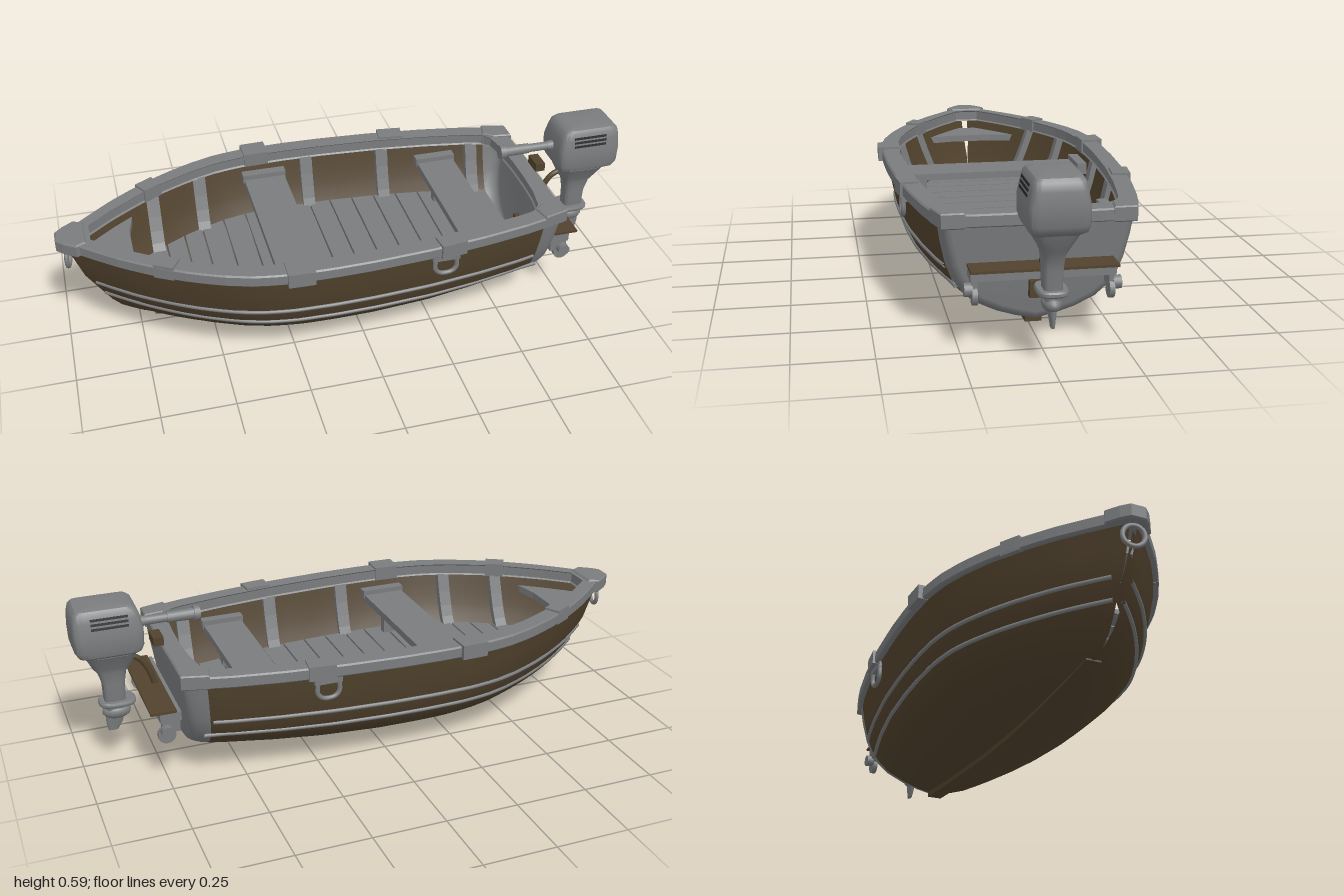
import * as THREE from 'three';
import { toCreasedNormals } from 'three/addons/utils/BufferGeometryUtils.js';

const material = (name, color) =>
  Object.assign(new THREE.MeshStandardMaterial({ color, side: THREE.DoubleSide }), { name });

// Piecewise linear lookup in [[key, value], ...]
function lookup(table, k) {
  if (k <= table[0][0]) return table[0][1];
  for (let i = 1; i < table.length; i++) {
    const [a, p] = table[i - 1], [b, q] = table[i];
    if (k <= b) return p + (q - p) * (k - a) / (b - a);
  }
  return table[table.length - 1][1];
}

// Hull lines: sheer height, plan, section, stem, keel
const TOP = 0.385;
const BEAM = [[-0.97, 0.012], [-0.9, 0.075], [-0.8, 0.16], [-0.7, 0.23], [-0.6, 0.288], [-0.5, 0.334], [-0.4, 0.367],
  [-0.3, 0.383], [-0.15, 0.388], [0, 0.385], [0.2, 0.372], [0.4, 0.348], [0.55, 0.322], [0.63, 0.303]];
const SECTION = [[0, 0], [0.04, 0.26], [0.1, 0.47], [0.2, 0.68], [0.3, 0.785], [0.42, 0.87], [0.58, 0.928], [0.8, 0.973], [1, 1]];
const STEM = [[0, -0.755], [0.04, -0.78], [0.1, -0.81], [0.2, -0.84], [0.58, -0.92], [1, -0.97]];
const KEEL = [[0, 0.065], [0.04, 0.048], [0.12, 0.036], [0.3, 0.02], [0.45, 0.013], [0.6, 0.014], [0.85, 0.03], [1, 0.045]];
const beam = x => lookup(BEAM, x);
const stern = v => 0.605 + 0.025 * v;

function hullPoint(u, v) {
  const x0 = lookup(STEM, v), keel = lookup(KEEL, u);
  const fine = 1 + 0.2 * Math.max(0, 1 - u / 0.3) + 0.2 * Math.max(0, (u - 0.75) / 0.25);
  return new THREE.Vector3(x0 + (stern(v) - x0) * u, keel + (TOP - keel) * v,
    beam(-0.97 + 1.6 * u) * Math.pow(lookup(SECTION, v), fine));
}

// Half width of the hull at a given x and y, and of its inner skin
function halfWidth(x, y) {
  let u = 0.5, v = 0.5;
  for (let i = 0; i < 4; i++) {
    const keel = lookup(KEEL, u);
    v = THREE.MathUtils.clamp((y - keel) / (TOP - keel), 0, 1);
    u = THREE.MathUtils.clamp((x - lookup(STEM, v)) / (stern(v) - lookup(STEM, v)), 0, 1);
  }
  return hullPoint(u, v).z;
}
const innerWidth = (x, y) => Math.max(0, halfWidth(x, y) - 0.022 - 0.08 * (TOP - y));

// Grid surface from a function of two indices
function surface(rows, cols, point) {
  const pos = [], index = [];
  for (let i = 0; i <= rows; i++) for (let j = 0; j <= cols; j++) pos.push(...point(i, j));
  for (let i = 0; i < rows; i++) for (let j = 0; j < cols; j++) {
    const a = i * (cols + 1) + j, b = a + cols + 1;
    index.push(a, a + 1, b, b, a + 1, b + 1);
  }
  const g = new THREE.BufferGeometry();
  g.setAttribute('position', new THREE.Float32BufferAttribute(pos, 3));
  g.setIndex(index);
  g.computeVertexNormals();
  return g;
}

// Rounded-box loft through levels [y, xMin, xMax, halfZ]
function loft(levels, power = 5) {
  const first = levels[0], last = levels[levels.length - 1];
  const cap = ([y, a, b]) => [y, (a + b) / 2, (a + b) / 2, 0];
  const all = [cap(first), ...levels, cap(last)];
  const round = c => Math.sign(c) * Math.pow(Math.abs(c), 2 / power);
  return toCreasedNormals(surface(all.length - 1, 32, (i, j) => {
    const [y, a, b, hz] = all[i], t = j / 32 * Math.PI * 2;
    return [(a + b) / 2 + round(Math.cos(t)) * (b - a) / 2, y, -round(Math.sin(t)) * hz];
  }), 0.6);
}

const toShape = pts => new THREE.Shape(pts.map(p => new THREE.Vector2(...p)));
const mirrored = pts => [...pts, ...pts.slice().reverse().map(([x, z]) => [x, -z])];

export function createModel() {
  const grey = material('grey', 0x7a7c7e);
  const brown = material('brown', 0x51422d);
  const dark = material('dark', 0x2a2a2a);
  const boat = new THREE.Group();
  boat.name = 'motorBoat';

  const add = (name, geo, mat, x = 0, y = 0, z = 0) => {
    const m = new THREE.Mesh(geo, mat);
    m.name = name;
    m.position.set(x, y, z);
    boat.add(m);
    return m;
  };
  const box = (name, w, h, d, mat, x, y, z) => add(name, new THREE.BoxGeometry(w, h, d), mat, x, y, z);
  // Plate drawn in x/z, hanging down from its top, with a small edge bevel
  const slab = (name, pts, top, depth, mat, { hole, bevel = 0 } = {}) => {
    const s = toShape(pts);
    if (hole) s.holes.push(new THREE.Path(hole.map(p => new THREE.Vector2(...p))));
    const geo = new THREE.ExtrudeGeometry(s, { depth: depth - 2 * bevel, bevelEnabled: bevel > 0,
      bevelSize: bevel, bevelThickness: bevel, bevelOffset: -bevel, bevelSegments: 1 });
    return add(name, geo.rotateX(Math.PI / 2), mat, 0, top - bevel, 0);
  };
  const tube = (name, pts, r, mat, n = 24) => add(name,
    new THREE.TubeGeometry(new THREE.CatmullRomCurve3(pts.map(p => new THREE.Vector3(...p))), n, r, 8), mat);
  const rod = (name, r0, r1, len, mat, x, y, z) =>
    add(name, new THREE.CylinderGeometry(r0, r1, len, 16).rotateZ(-Math.PI / 2), mat, x, y, z);
  const disc = (name, r, len, mat, x, y, z) =>
    add(name, new THREE.CylinderGeometry(r, r, len, 16).rotateX(Math.PI / 2), mat, x, y, z);

  // Hull skin and the rounded transom closing it
  const level = j => SECTION[Math.abs(j - 8)][0];
  add('hull', surface(40, 16, (i, j) => {
    const p = hullPoint(i / 40, level(j));
    return [p.x, p.y, Math.sign(j - 8) * p.z];
  }), brown);
  const BULGE = [[0, 1], [0.035, 0.985], [0.055, 0.96], [0.068, 0.93], [0.074, 0.88], [0.076, 0.5], [0.076, 0]];
  add('transom', surface(BULGE.length - 1, 16, (i, j) => {
    const p = hullPoint(1, level(j)), [dx, k] = BULGE[i];
    const y = TOP - (TOP - p.y) * k;
    return [p.x + dx + 0.025 * (1 - k) * (1 - level(j)) - 0.02 * (TOP - y) / TOP, y, Math.sign(j - 8) * p.z * k];
  }), grey);

  // Keel strip, fading into the stem
  const keelTop = [], keelLow = [];
  for (let i = 0; i <= 30; i++) {
    const p = hullPoint(0.04 + i / 30 * 0.96, 0);
    keelTop.push([p.x, p.y + 0.006]);
    keelLow.unshift([p.x, p.y - 0.013 * Math.min(1, i / 12)]);
  }
  add('keel', new THREE.ExtrudeGeometry(toShape([...keelTop, ...keelLow]), { depth: 0.052, bevelEnabled: false }), brown, 0, 0, -0.026);

  // Gunwale
  const outer = [], inner = [];
  for (let x = -0.97; x < 0.64; x += 0.04) outer.push([x, beam(x) + 0.018]);
  outer.push([0.67, 0.3], [0.7, 0.285], [0.708, 0.2], [0.71, 0.06]);
  for (let x = -0.89; x < 0.6; x += 0.04) inner.push([x, beam(x) - 0.039]);
  inner.push([0.61, 0.265], [0.635, 0.235], [0.65, 0.15], [0.655, 0.05]);
  slab('gunwale', mirrored(outer), 0.416, 0.042, grey, { hole: mirrored(inner), bevel: 0.005 });
  slab('bowCap', mirrored([[-1, 0.025], [-0.975, 0.05], [-0.935, 0.078], [-0.9, 0.06]]), 0.422, 0.048, grey, { bevel: 0.005 });

  // Floor planks
  const FLOOR = 0.195;
  const edges = [-0.78, -0.7, -0.62, -0.55, -0.48, -0.395, -0.31, -0.225, -0.14, -0.06, 0.02, 0.105, 0.19, 0.275, 0.36, 0.445, 0.53, 0.62];
  for (let i = 1; i < edges.length; i++) {
    const a = edges[i - 1] + 0.003, b = edges[i] - 0.003;
    slab('floorPlank', mirrored([[a, innerWidth(a, FLOOR) - 0.004], [b, innerWidth(b, FLOOR) - 0.004]]), FLOOR, 0.015, grey);
  }

  // Bow seat with a hollowed edge
  const bowSeat = [-0.9, -0.84, -0.78, -0.73].map(x => [x, innerWidth(x, 0.33) + 0.01]);
  slab('bowSeat', mirrored([...bowSeat, [-0.75, 0.08]]), 0.34, 0.025, grey);

  // Cross seats with posts and end cleats
  for (const [x, w] of [[-0.225, 0.15], [0.425, 0.14]]) {
    const hw = innerWidth(x + 0.05, 0.31);
    box('seat', w, 0.025, hw * 2, grey, x, 0.318, 0);
    for (const s of [-1, 1]) {
      box('seatPost', 0.05, 0.115, 0.03, grey, x, 0.25, s * (hw - 0.09));
      box('seatCleat', w + 0.01, 0.03, 0.035, grey, x, 0.333, s * (hw - 0.018));
    }
  }

  for (const s of [-1, 1]) {
    // Inner skin above the floor, starting just behind the stem
    add('innerSkin', surface(36, 5, (i, j) => {
      const y = 0.18 + j * 0.041, x0 = lookup(STEM, (y - 0.06) / 0.325) + 0.03;
      const x = x0 + i / 36 * (0.62 - x0);
      return [x, y, s * innerWidth(x, y)];
    }), brown);
    // Ribs inside the hull
    for (const x of [-0.65, -0.47, -0.06, 0.23, 0.57]) {
      const ys = [FLOOR - 0.005, 0.22, 0.26, 0.31, 0.376];
      const pts = [...ys.map(y => [s * (innerWidth(x, y) + 0.006), y]), ...ys.reverse().map(y => [s * (innerWidth(x, y) - 0.02), y])];
      add('rib', new THREE.ExtrudeGeometry(toShape(pts), { depth: 0.045, bevelEnabled: false }).rotateY(-Math.PI / 2), grey, x + 0.022);
    }
    // Rubbing strakes
    for (const y of [0.232, 0.172]) {
      const pts = [];
      for (let i = 0; i <= 24; i++) {
        const x = -0.885 + (y < 0.2 ? 0.025 : 0) + i / 24 * 1.495;
        pts.push([x, y, s * (halfWidth(x, y) + 0.001)]);
      }
      tube('strake', pts, 0.007, grey, 60);
    }
    // Gunwale clamps
    for (const [x, len, depth, off] of [[-0.66, 0.07, 0.056, -0.015], [-0.25, 0.09, 0.078, -0.006], [0.27, 0.09, 0.062, -0.005]]) {
      const slope = (beam(x + 0.04) - beam(x - 0.04)) / 0.08;
      box('gunwaleClamp', len, 0.05, depth, grey, x, 0.398, s * (beam(x) + off)).rotation.y = -s * Math.atan(slope);
    }
    slab('sternCorner', [[0.625, s * 0.322], [0.712, s * 0.298], [0.712, s * 0.225], [0.645, s * 0.235], [0.61, s * 0.262]], 0.423, 0.05, grey, { bevel: 0.004 });
    // Side lifting rings
    const z = s * (halfWidth(0.25, 0.34) + 0.012);
    tube('sideRing', [[0.215, 0.365, z], [0.213, 0.32, z], [0.23, 0.302, z], [0.27, 0.302, z], [0.287, 0.32, z], [0.285, 0.365, z]], 0.008, grey);
    box('ringMount', 0.095, 0.02, 0.02, grey, 0.25, 0.362, z - s * 0.004);
    // Trim units below the platform
    box('platformBracket', 0.06, 0.05, 0.016, grey, 0.735, 0.215, s * 0.207);
    disc('trimUnit', 0.03, 0.016, grey, 0.75, 0.182, s * 0.207);
    disc('trimKnob', 0.021, 0.026, grey, 0.75, 0.2, s * 0.225);
  }
  add('bowRing', new THREE.TorusGeometry(0.035, 0.008, 8, 20).rotateY(Math.PI / 2 - 0.2), grey, -0.965, 0.335, 0);

  // Stern platform
  box('platformBeam', 0.07, 0.034, 0.44, grey, 0.735, 0.246, 0);
  box('platformBoard', 0.085, 0.008, 0.446, brown, 0.757, 0.266, 0);
  box('sternPad', 0.04, 0.055, 0.06, brown, 0.682, 0.172, 0);

  // Outboard motor: cowl, leg, lower unit
  add('motorCowl', loft([[0.415, 0.8, 0.96, 0.065], [0.43, 0.78, 0.985, 0.084], [0.45, 0.772, 0.996, 0.09], [0.505, 0.77, 0.998, 0.09],
    [0.55, 0.778, 0.996, 0.081], [0.575, 0.787, 0.99, 0.076], [0.586, 0.8, 0.98, 0.068], [0.59, 0.82, 0.96, 0.055]], 9), grey);
  add('motorLeg', loft([[0.2, 0.85, 0.905, 0.022], [0.235, 0.84, 0.91, 0.028], [0.3, 0.838, 0.912, 0.03], [0.345, 0.83, 0.925, 0.034],
    [0.365, 0.815, 0.94, 0.042], [0.42, 0.79, 0.965, 0.075]], 4.5), grey);
  add('cavitationPlate', loft([[0.221, 0.81, 0.925, 0.044], [0.226, 0.806, 0.929, 0.047], [0.234, 0.806, 0.929, 0.047], [0.239, 0.81, 0.925, 0.044]], 3), grey);
  add('gearCase', new THREE.SphereGeometry(0.03, 16, 12).scale(1.6, 0.9, 1), grey, 0.872, 0.192, 0);
  add('skeg', loft([[0.122, 0.872, 0.905, 0.006], [0.15, 0.855, 0.91, 0.009], [0.185, 0.845, 0.91, 0.014]], 2.5), grey);
  // Cowl vents, leaning with the cowl sides
  for (const s of [-1, 1]) for (let i = 0; i < 3; i++)
    box('ventSlot', 0.12, 0.008, 0.006, dark, 0.88, 0.529 + i * 0.015, s * (0.0835 - i * 0.0027)).rotation.x = -s * 0.2;

  // Tiller, clamp and cable
  rod('tillerGrip', 0.018, 0.02, 0.1, grey, 0.63, 0.5, 0);
  rod('tillerGripEnd', 0.025, 0.025, 0.02, grey, 0.58, 0.5, 0);
  rod('tillerRod', 0.015, 0.015, 0.09, grey, 0.71, 0.5, 0);
  rod('tillerSocket', 0.016, 0.02, 0.035, grey, 0.768, 0.5, 0).rotation.z = Math.PI;
  box('transomClamp', 0.035, 0.03, 0.07, brown, 0.72, 0.432, 0);
  tube('mountArm', [[0.83, 0.39, 0], [0.785, 0.37, 0], [0.755, 0.325, 0], [0.735, 0.26, 0]], 0.01, brown);

  return boat;
}
